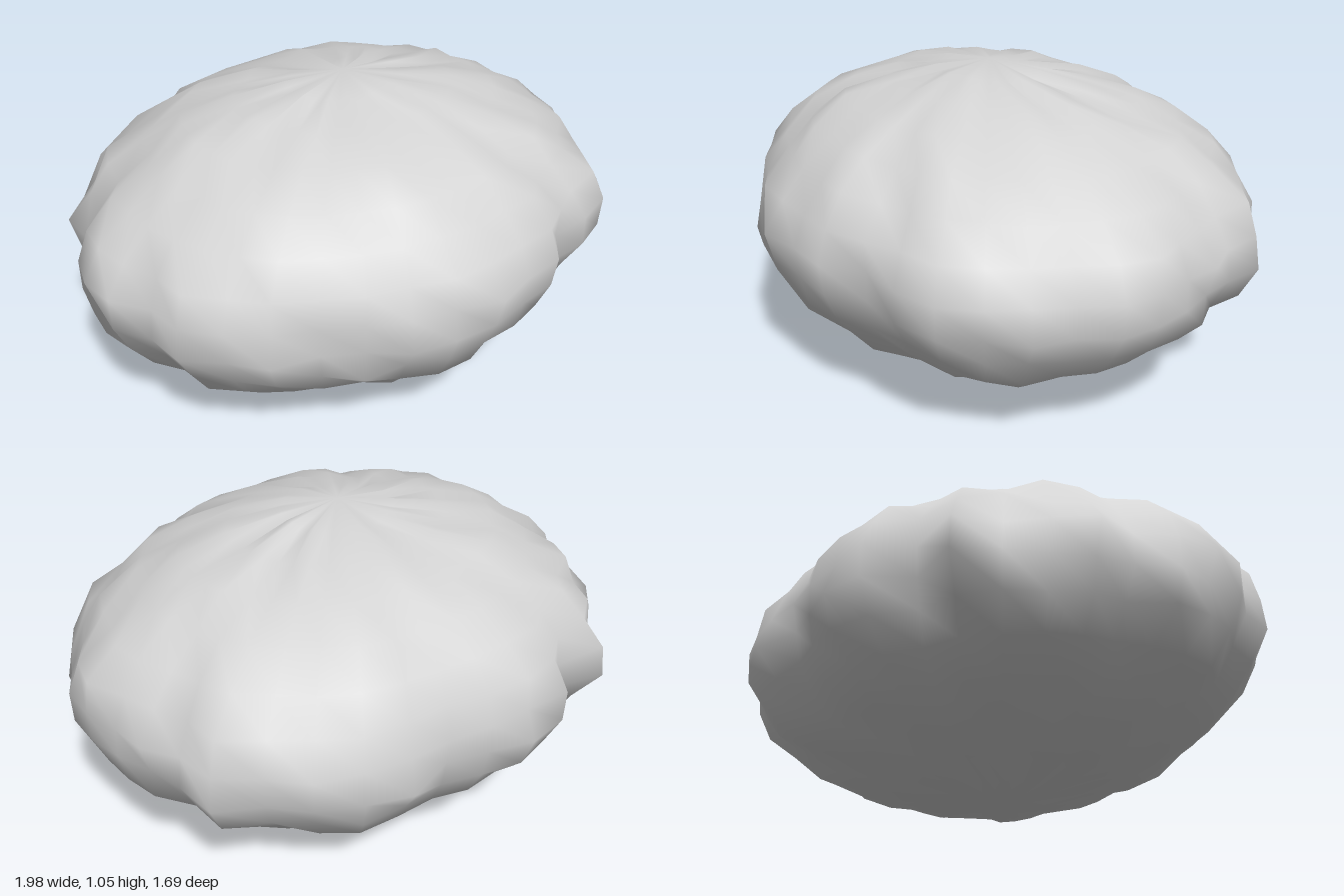
import * as THREE from 'three';
import { mergeVertices } from 'three/addons/utils/BufferGeometryUtils.js';

const COLUMNS = 40, ROWS = 15;
const HALF_WIDTH = 1, HALF_HEIGHT = 0.525, HALF_DEPTH = 0.845;
const WORN = 0.957; // usual wear of the surface away from the waist and the tips
// Girth of the rock at the waist for each column, running from +x towards +z
const GIRTH = [
  1.0, 0.98, 0.96, 0.98, 0.97, 0.99, 0.955, 0.91, 0.955, 0.96,
  0.99, 0.965, 0.955, 0.94, 0.93, 0.97, 0.99, 0.99, 0.96, 0.99,
  0.99, 1.0, 0.94, 0.98, 0.98, 0.99, 1.04, 0.93, 1.02, 1.0,
  0.98, 0.93, 1.0, 1.03, 1.01, 1.02, 1.05, 0.97, 0.97, 0.96,
];

// Repeatable roughness from -0.5 to 0.5 for each grid point
function roughness(column, row) {
  const s = Math.sin(column * 127.1 + row * 311.7) * 43758.5453;
  return s - Math.floor(s) - 0.5;
}

function rockGeometry() {
  let geometry = new THREE.SphereGeometry(1, COLUMNS, ROWS);
  geometry.deleteAttribute('uv');
  geometry.deleteAttribute('normal');
  geometry = mergeVertices(geometry, 1e-4);

  // Push every point in or out along its own ray; the two tips stay sharp
  const p = geometry.attributes.position;
  for (let i = 0; i < p.count; i++) {
    const x = p.getX(i), y = p.getY(i), z = p.getZ(i);
    const ring = Math.hypot(x, z);
    const row = Math.round((Math.acos(THREE.MathUtils.clamp(y, -1, 1)) / Math.PI) * ROWS);
    const turn = Math.round((Math.atan2(z, x) / (2 * Math.PI)) * COLUMNS);
    const column = (turn + COLUMNS) % COLUMNS;
    const isTip = ring < 0.01;
    const base = THREE.MathUtils.lerp(WORN, GIRTH[column], ring ** 4);
    const r = isTip ? 1 : base + 0.055 * roughness(column, row);
    p.setXYZ(i, x * r * HALF_WIDTH, (y * r + 1) * HALF_HEIGHT, z * r * HALF_DEPTH);
  }
  geometry.computeVertexNormals();
  return geometry;
}

export function createModel() {
  const group = new THREE.Group();
  group.name = 'rock';
  const stone = new THREE.MeshStandardMaterial({ color: 0xd4d4d4 });
  stone.name = 'stone grey';
  const boulder = new THREE.Mesh(rockGeometry(), stone);
  boulder.name = 'boulder';
  group.add(boulder);
  return group;
}
